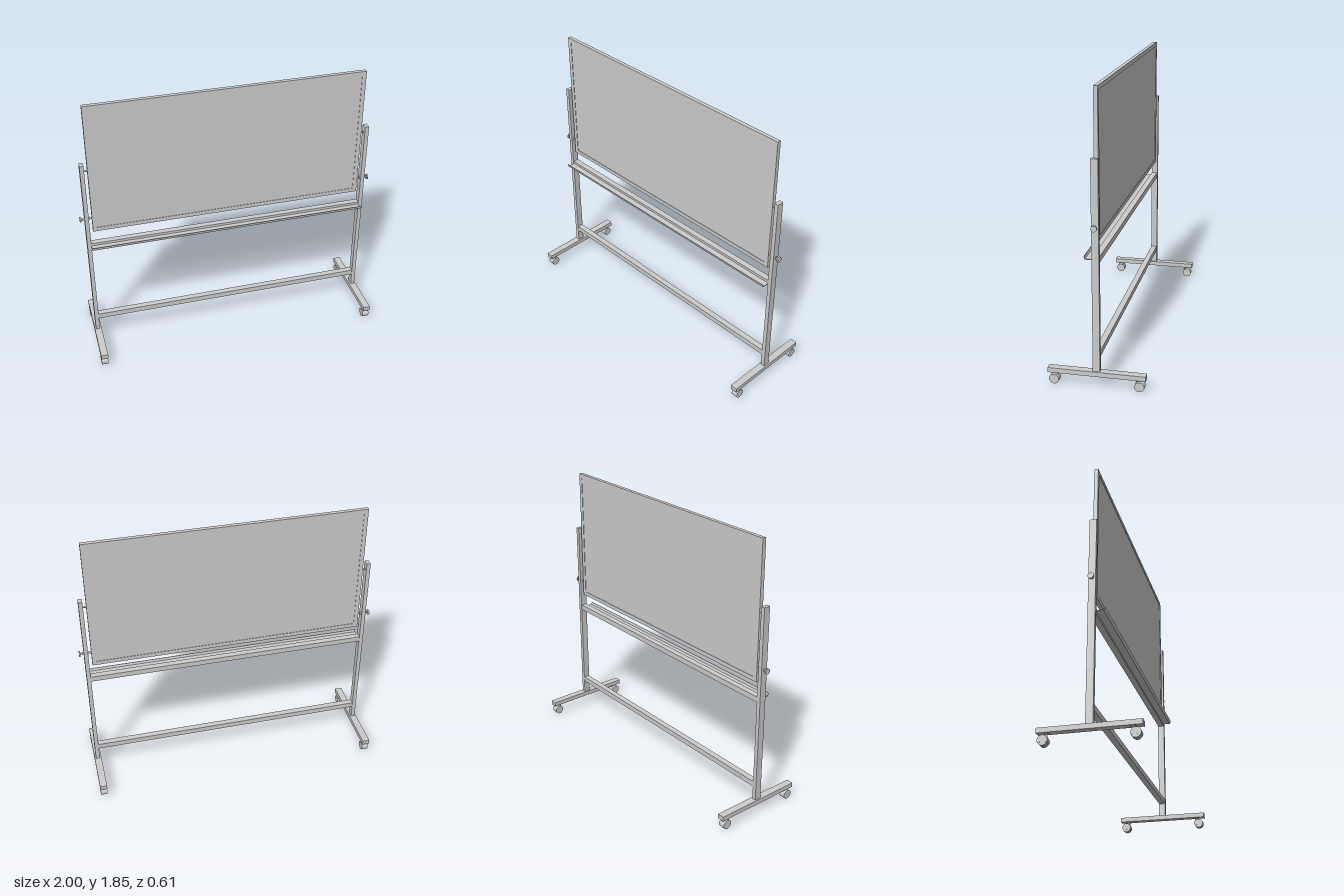
import * as THREE from 'three';

const mat = new THREE.MeshStandardMaterial({ color: 0xcccccc });

export function createModel() {
  const model = new THREE.Group();

  const add = (name, geo, x, y, z, parent = model) => {
    const mesh = new THREE.Mesh(geo, mat);
    mesh.name = name;
    mesh.position.set(x, y, z);
    parent.add(mesh);
    return mesh;
  };
  const box = (name, w, h, d, x, y, z, parent) =>
    add(name, new THREE.BoxGeometry(w, h, d), x, y, z, parent);
  // Cylinder lying along x
  const rod = (name, r, len, x, y, z, parent) =>
    add(name, new THREE.CylinderGeometry(r, r, len, 24).rotateZ(Math.PI / 2), x, y, z, parent);

  // Board: frame with a slightly recessed writing panel
  const board = new THREE.Group();
  board.name = 'board';
  board.position.y = 1.39;
  model.add(board);
  const rect = (shape, w, h) =>
    shape.moveTo(-w, -h).lineTo(w, -h).lineTo(w, h).lineTo(-w, h).closePath();
  const frame = rect(new THREE.Shape(), 0.921, 0.46);
  frame.holes.push(rect(new THREE.Path(), 0.893, 0.432));
  add('boardFrame', new THREE.ExtrudeGeometry(frame, { depth: 0.026, bevelEnabled: false }), 0, 0, -0.013, board);
  box('writingPanel', 1.79, 0.868, 0.02, 0, 0, 0, board);

  // Crossbars between the posts
  box('lowerCrossbar', 1.886, 0.037, 0.04, 0, 0.213, 0);
  box('upperCrossbar', 1.886, 0.037, 0.04, 0, 0.821, 0);

  // Pen tray: thin sheet with a raised, leaning lip
  const tray = new THREE.Shape();
  [[0.02, 0.817], [0.068, 0.817], [0.072, 0.821], [0.076, 0.839],
    [0.073, 0.839], [0.068, 0.822], [0.02, 0.822]]
    .forEach(([z, y], i) => (i ? tray.lineTo(-z, y) : tray.moveTo(-z, y)));
  tray.closePath();
  const trayGeo = new THREE.ExtrudeGeometry(tray, { depth: 1.888, bevelEnabled: false });
  trayGeo.translate(0, 0, -0.944).rotateY(Math.PI / 2);
  add('penTray', trayGeo, 0, 0, 0);

  for (const s of [1, -1]) {
    // Upright post and foot
    const side = new THREE.Group();
    side.name = s > 0 ? 'leftStand' : 'rightStand';
    model.add(side);
    box('post', 0.027, 1.34, 0.045, s * 0.956, 0.77, 0, side);
    box('foot', 0.048, 0.031, 0.614, s * 0.955, 0.09, 0, side);

    // Pivot with knob, and upper stop pin
    rod('pivotRod', 0.006, 0.075, s * 0.955, 1.03, 0, side);
    rod('pivotCollar', 0.011, 0.006, s * 0.939, 1.03, 0, side);
    rod('pivotKnob', 0.019, 0.009, s * 0.9955, 1.03, 0, side);
    rod('knobCollar', 0.01, 0.006, s * 0.972, 1.03, 0, side);
    rod('stopPin', 0.005, 0.03, s * 0.932, 1.39, 0, side);

    // Twin-wheel casters
    for (const f of [1, -1]) {
      const caster = new THREE.Group();
      caster.name = 'caster';
      caster.position.set(s * 0.955, 0, f * 0.267);
      side.add(caster);
      for (const w of [1, -1]) rod('wheel', 0.029, 0.018, w * 0.0125, 0.029, 0, caster);
      rod('casterHub', 0.022, 0.01, 0, 0.032, 0, caster);
      // Hood over the wheels
      const hood = new THREE.Shape();
      hood.absarc(0, 0, 0.031, -0.4, Math.PI + 0.4, false);
      hood.closePath();
      const hoodGeo = new THREE.ExtrudeGeometry(hood, { depth: 0.045, bevelEnabled: false, curveSegments: 20 });
      hoodGeo.translate(0, 0, -0.0225).rotateY(Math.PI / 2);
      add('casterHood', hoodGeo, 0, 0.031, 0, caster);
      add('casterStem', new THREE.CylinderGeometry(0.006, 0.006, 0.04, 16), 0, 0.058, -f * 0.018, caster);
      add('casterPlate', new THREE.CylinderGeometry(0.016, 0.016, 0.004, 20), 0, 0.073, -f * 0.018, caster);
    }
  }
  return model;
}
